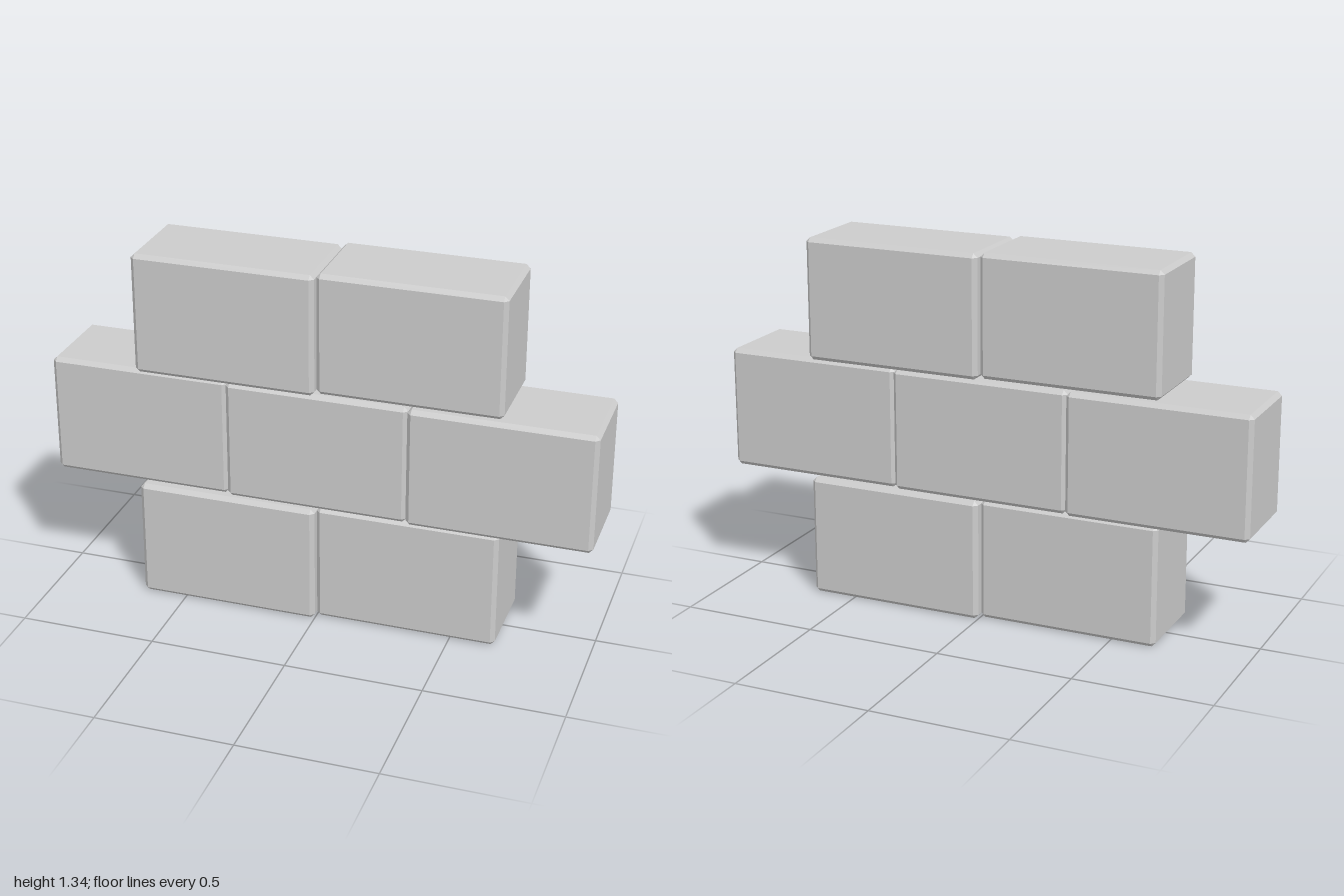
import * as THREE from 'three';
import { ConvexGeometry } from 'three/addons/geometries/ConvexGeometry.js';

const W = 0.665, H = 0.445, D = 0.332, BEVEL = 0.015;

// Box with every edge cut at 45 degrees and small triangular corners
function chamferedBox(w, h, d, c) {
  const points = [];
  for (const sx of [-1, 1]) for (const sy of [-1, 1]) for (const sz of [-1, 1]) {
    const x = w / 2, y = h / 2, z = d / 2;
    points.push(
      new THREE.Vector3(sx * x, sy * (y - c), sz * (z - c)),
      new THREE.Vector3(sx * (x - c), sy * y, sz * (z - c)),
      new THREE.Vector3(sx * (x - c), sy * (y - c), sz * z)
    );
  }
  return new ConvexGeometry(points);
}

export function createModel() {
  const wall = new THREE.Group();
  wall.name = 'brickWall';
  const geometry = chamferedBox(W, H, D, BEVEL);
  const material = new THREE.MeshStandardMaterial({ color: 0xcccccc, flatShading: true });

  // Courses from the ground up: z offset of each brick, listed from -x to +x
  const courses = [
    { name: 'bottom', offsets: [0.015, -0.012] },
    { name: 'middle', offsets: [-0.014, -0.002, 0.01] },
    { name: 'top', offsets: [0.012, -0.012] },
  ];

  courses.forEach(({ name, offsets }, row) => {
    const course = new THREE.Group();
    course.name = name + 'Course';
    offsets.forEach((z, i) => {
      const brick = new THREE.Mesh(geometry, material);
      brick.name = `${name}Brick${i + 1}`;
      brick.position.set((i - (offsets.length - 1) / 2) * W, (row + 0.5) * H, z);
      course.add(brick);
    });
    wall.add(course);
  });
  return wall;
}
